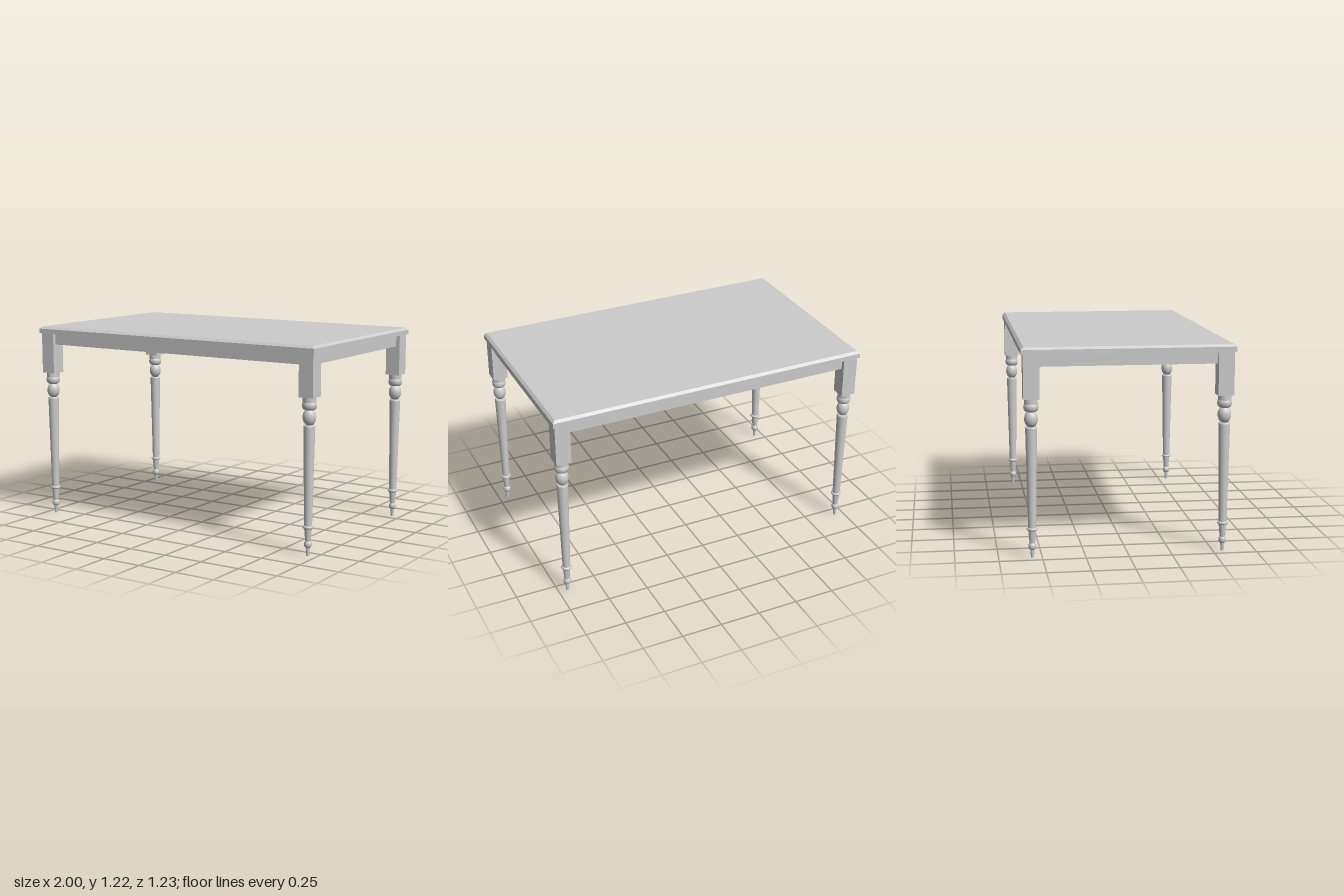
import * as THREE from 'three';

const material = new THREE.MeshStandardMaterial({ color: 0xcccccc });

function part(name, geometry, y = 0) {
  const mesh = new THREE.Mesh(geometry, material);
  mesh.name = name;
  mesh.position.y = y;
  return mesh;
}

// Box given by its bottom and top heights
function block(name, width, depth, y0, y1) {
  return part(name, new THREE.BoxGeometry(width, y1 - y0, depth), (y0 + y1) / 2);
}

// Turned section: points are [radius, height] from bottom to top
function turned(name, points) {
  return part(name, new THREE.LatheGeometry(points.map(([r, y]) => new THREE.Vector2(r, y)), 32));
}

// Turned bulge following half an ellipse from y0 to y1
function bead(name, neck, radius, y0, y1) {
  const points = [[0, y0]];
  for (let i = 0; i <= 14; i++) {
    const a = (i / 14 - 0.5) * Math.PI;
    points.push([neck + (radius - neck) * Math.cos(a), (y0 + y1) / 2 + (y1 - y0) / 2 * Math.sin(a)]);
  }
  points.push([0, y1]);
  return turned(name, points);
}

// Straight or tapered turned section with crisp, closed ends
function taper(name, rBottom, rTop, y0, y1) {
  return part(name, new THREE.CylinderGeometry(rTop, rBottom, y1 - y0, 32), (y0 + y1) / 2);
}

function createLeg() {
  const leg = new THREE.Group();
  leg.add(
    block('legBlock', 0.092, 0.092, 0.925, 1.178),
    taper('collar', 0.039, 0.039, 0.895, 0.925),
    bead('upperRing', 0.024, 0.043, 0.851, 0.905),
    taper('neck', 0.022, 0.022, 0.84, 0.86),
    bead('ball', 0.006, 0.039, 0.762, 0.858),
    taper('shaftShoulder', 0.034, 0.031, 0.757, 0.764),
    taper('shaft', 0.023, 0.034, 0.176, 0.757),
    bead('lowerRing', 0.024, 0.032, 0.161, 0.178),
    taper('ankle', 0.016, 0.023, 0.085, 0.163),
    bead('footBead', 0.01, 0.023, 0.047, 0.088),
    taper('foot', 0.009, 0.012, 0, 0.05),
  );
  return leg;
}

export function createModel() {
  const table = new THREE.Group();
  table.name = 'table';

  // Tabletop with a chamfered upper edge
  table.add(block('tabletop', 2, 1.226, 1.178, 1.207));
  const chamfer = block('tabletopChamfer', 2, 1.226, 1.207, 1.221);
  const pos = chamfer.geometry.attributes.position;
  for (let i = 0; i < pos.count; i++) {
    if (pos.getY(i) < 0) continue;
    pos.setX(i, pos.getX(i) - 0.016 * Math.sign(pos.getX(i)));
    pos.setZ(i, pos.getZ(i) - 0.016 * Math.sign(pos.getZ(i)));
  }
  chamfer.geometry.computeVertexNormals();
  table.add(chamfer);

  // Solid apron, set back slightly from the leg faces
  table.add(block('apron', 1.93, 1.156, 1.108, 1.178));

  // Four turned legs
  const leg = createLeg();
  for (const [end, x] of [['Left', 0.943], ['Right', -0.943]]) {
    for (const [side, z] of [['front', 0.556], ['back', -0.556]]) {
      const copy = leg.clone();
      copy.name = `${side}${end}Leg`;
      copy.position.set(x, 0, z);
      table.add(copy);
    }
  }
  return table;
}
